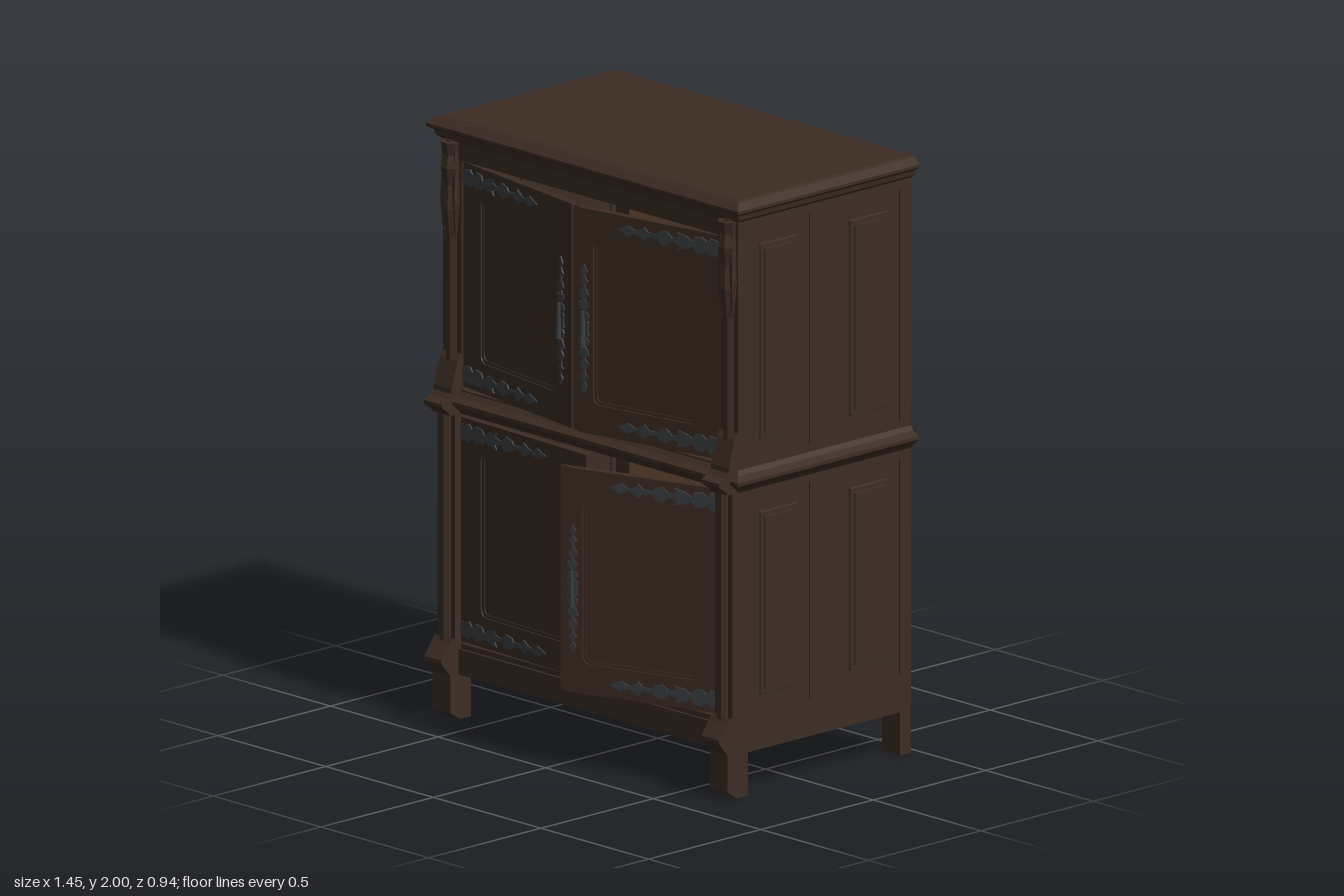
import * as THREE from 'three';

const mat = (name, color) => {
  const m = new THREE.MeshStandardMaterial({ color });
  m.name = name;
  return m;
};

export function createModel() {
  const wood = mat('dark oak', 0x3d2d23);
  const backWood = mat('pale back wood', 0x815c42);
  const iron = mat('wrought iron', 0x3c4043);
  const root = new THREE.Group();
  root.name = 'cabinet';

  const add = (name, geo, m = wood, parent = root) => {
    const g = geo.index ? geo.toNonIndexed() : geo;
    g.computeVertexNormals(); // crisp flat faces
    const mesh = new THREE.Mesh(g, m);
    mesh.name = name;
    parent.add(mesh);
    return mesh;
  };
  // Box given by its minimum and maximum corners
  const box = (name, x0, x1, y0, y1, z0, z1, m, parent) =>
    add(name, new THREE.BoxGeometry(x1 - x0, y1 - y0, z1 - z0)
      .translate((x0 + x1) / 2, (y0 + y1) / 2, (z0 + z1) / 2), m, parent);
  const rect = (target, x0, x1, y0, y1, r = 0) => {
    const pts = [];
    [[x1 - r, y1 - r], [x0 + r, y1 - r], [x0 + r, y0 + r], [x1 - r, y0 + r]].forEach(([x, y], i) => {
      for (let k = 0; k <= (r ? 4 : 0); k++) {
        const a = (i + k / 4) * Math.PI / 2;
        pts.push(new THREE.Vector2(x + r * Math.cos(a), y + r * Math.sin(a)));
      }
    });
    return target.setFromPoints(pts);
  };
  const extrude = (shape, depth) => new THREE.ExtrudeGeometry(shape, { depth, bevelEnabled: false });
  // Raised field: a slab whose +z face is inset by b
  const raised = (w, h, d, b) => {
    const g = new THREE.BoxGeometry(w, h, d).translate(0, 0, d / 2), p = g.attributes.position;
    for (let i = 0; i < p.count; i++) {
      if (p.getZ(i) > d / 2) p.setXY(i, p.getX(i) * (1 - 2 * b / w), p.getY(i) * (1 - 2 * b / h));
    }
    return g;
  };
  // Moulding: profile [offset, y] from top to bottom, swept along left, front and right
  const moulding = (name, profile, x0, x1, zb, zf, side = 1) => {
    const ring = ([o, y]) => [[x0 - o * side, y, zb], [x0 - o * side, y, zf + o],
      [x1 + o * side, y, zf + o], [x1 + o * side, y, zb]];
    const rings = profile.map(ring), out = [];
    for (let i = 0; i + 1 < rings.length; i++) {
      for (let k = 0; k < 3; k++) {
        const a = rings[i][k], b = rings[i + 1][k], c = rings[i + 1][k + 1], d = rings[i][k + 1];
        out.push(...a, ...b, ...c, ...a, ...c, ...d);
      }
      for (const k of [0, 3]) { // end caps
        const a = rings[0][k], b = rings[i][k], c = rings[i + 1][k];
        out.push(...a, ...b, ...c, ...a, ...c, ...b);
      }
    }
    const g = new THREE.BufferGeometry();
    g.setAttribute('position', new THREE.Float32BufferAttribute(out, 3));
    return add(name, g);
  };

  // Horizontal boards
  box('topBoard', -0.69, 0.69, 1.93, 2.0, -0.47, 0.305);
  box('middleBoard', -0.68, 0.68, 1.02, 1.1, -0.44, 0.3);
  box('floorBoard', -0.66, 0.66, 0.21, 0.24, -0.44, 0.28);
  box('frieze', -0.62, 0.62, 1.865, 1.94, 0.26, 0.3);
  box('bottomRail', -0.62, 0.62, 0.15, 0.235, 0.26, 0.31);
  box('bottomRailLip', -0.62, 0.62, 0.235, 0.252, 0.26, 0.3);

  // Mouldings
  moulding('cornice', [[0, 2], [0.012, 1.995], [0.036, 1.975], [0.036, 1.965], [0.016, 1.952],
    [0.012, 1.935], [0, 1.925]], -0.69, 0.69, -0.47, 0.303);
  const waist = [[0, 1.095], [0.012, 1.08], [0.036, 1.066], [0.036, 1.054], [0.012, 1.035], [0, 1.02]];
  moulding('waistMoulding', waist, -0.685, 0.685, -0.47, 0.3);

  // Sides with four framed, raised panels each
  const bays = [[-0.02, 0.255], [-0.42, -0.145]], rows = [[0.27, 0.995], [1.12, 1.89]];
  for (const s of [-1, 1]) {
    const shape = rect(new THREE.Shape(), -0.47, 0.3, 0.145, 1.94);
    for (const [a, b] of bays) for (const [c, d] of rows) {
      shape.holes.push(rect(new THREE.Path(), a, b, c, d));
      const w = b - a, h = d - c, x = s * 0.671;
      const panel = new THREE.Group();
      panel.name = 'sidePanel';
      panel.position.set(x, (c + d) / 2, (a + b) / 2);
      panel.rotation.y = s * Math.PI / 2;
      root.add(panel);
      box('panelGround', -w / 2, w / 2, -h / 2, h / 2, -0.01, 0.009, wood, panel);
      add('panelBead', raised(w - 0.095, h - 0.105, 0.016, 0.008), wood, panel);
      add('panelField', raised(w - 0.13, h - 0.14, 0.021, 0.006), wood, panel);
    }
    add('sideFrame', extrude(shape, 0.03).rotateY(-Math.PI / 2).translate(s > 0 ? 0.685 : -0.655, 0, 0));
  }

  // Back frame with pale panels
  const back = rect(new THREE.Shape(), -0.685, 0.685, 0.15, 1.94);
  for (const [a, b] of [[0.27, 0.985], [1.12, 1.89]]) {
    back.holes.push(rect(new THREE.Path(), -0.595, 0.595, a, b));
    box('backPanel', -0.62, 0.62, a - 0.02, b + 0.02, -0.455, -0.447, backWood);
  }
  add('backFrame', extrude(back, 0.03).translate(0, 0, -0.47));

  // Corner posts and legs
  const turned = (name, x, z, y0, y1, rTop, rBot, n = 8) =>
    add(name, new THREE.CylinderGeometry(rTop, rBot, y1 - y0, n, 1).rotateY(Math.PI / n)
      .translate(x, (y0 + y1) / 2, z));
  for (const s of [-1, 1]) {
    const a = s > 0 ? 0.603 : -0.685, b = a + 0.082, x = (a + b) / 2;
    box('upperPost', a, b, 1.09, 1.94, 0.24, 0.298);
    turned('upperColumn', x, 0.295, 1.09, 1.93, 0.024, 0.024);
    moulding('columnPedestal', [[0, 1.22], [0.012, 1.2], [0.04, 1.11], [0.04, 1.09]], a, b, 0.25, 0.302, 0);
    // Carved hanging pinnacle in tapering tiers
    [[1.55, 1.63, 0.026, 0.004], [1.63, 1.7, 0.033, 0.022], [1.7, 1.78, 0.027, 0.033],
      [1.78, 1.84, 0.038, 0.026], [1.84, 1.88, 0.03, 0.036], [1.88, 1.925, 0.038, 0.028]]
      .forEach(([y0, y1, t, m]) => turned('carvedPinnacle', x, 0.302, y0, y1, t, m));
    for (const k of [-1, 1]) {
      turned('pinnacleDrop', x + k * 0.026, 0.308, 1.6, 1.72, 0.014, 0.002, 6);
      turned('pinnacleSpire', x + k * 0.026, 0.308, 1.72, 1.9, 0.008, 0.014, 6);
    }
    // Lower post with a half-round shaft between two flats
    box('lowerPost', a, b, 0.15, 1.04, 0.255, 0.325);
    turned('lowerColumn', x, 0.325, 0.25, 1.03, 0.022, 0.022);
    const corner = waist.map(([o, y]) => [o * 1.1, y]);
    moulding('waistCorner', corner, a, b, 0.26, 0.345, 0);
    moulding('footCorner', [[-0.005, 0.275], [0.005, 0.255], [0.04, 0.21], [0.04, 0.198], [0, 0.15]],
      a, b, 0.26, 0.345, 0);
    // Front leg with a cut-back toe
    const leg = new THREE.Shape([[0.255, 0], [0.305, 0], [0.347, 0.028], [0.347, 0.2], [0.255, 0.2]]
      .map(([u, v]) => new THREE.Vector2(u, v)));
    add('frontLeg', extrude(leg, 0.082).rotateY(-Math.PI / 2).translate(b, 0, 0));
    box('backLeg', a, b, 0, 0.2, -0.47, -0.42);
  }

  // Pierced-leaf iron plate, mirrored about its long axis; u runs 0..1
  const leaf = [[0, 0.75], [0.1, 1], [0.13, 0.5], [0.18, 0.95], [0.25, 0.8], [0.27, 0.25], [0.33, 0.7],
    [0.42, 0.95], [0.4, 0.45], [0.47, 0.2], [0.53, 0.85], [0.6, 0.6], [0.62, 0.2], [0.7, 0.25],
    [0.74, 0.8], [0.79, 0.35], [0.83, 0.15], [0.9, 0.6], [0.95, 0.3], [1, 0.05]];
  const plate = (len, half) => {
    const top = leaf.map(([u, v]) => new THREE.Vector2(u * len, v * half));
    const low = leaf.map(([u, v]) => new THREE.Vector2(u * len, -v * half)).reverse();
    return extrude(new THREE.Shape([...low, ...top]), 0.005);
  };

  // Doors: built from the hinge at 0 towards the middle, dir = +1 or -1
  const door = (name, dir, y0, h, degrees, zHinge) => {
    const g = new THREE.Group();
    g.name = name;
    g.position.set(-dir * 0.602, y0, zHinge);
    g.rotation.y = -dir * THREE.MathUtils.degToRad(degrees);
    root.add(g);
    const W = 0.602, lip = dir < 0 ? 0.028 : 0, T = 0.024;
    const span = (a, b) => dir > 0 ? [a, b] : [-b, -a];
    const frame = rect(new THREE.Shape(), ...span(0, W - lip), 0, h);
    frame.holes.push(rect(new THREE.Path(), ...span(0.095, 0.515), 0.1, h - 0.1, 0.025));
    add('doorFrame', extrude(frame, T).translate(0, 0, -T), wood, g);
    const bead = rect(new THREE.Shape(), ...span(0.095, 0.515), 0.1, h - 0.1, 0.025);
    bead.holes.push(rect(new THREE.Path(), ...span(0.105, 0.505), 0.11, h - 0.11, 0.02));
    add('doorBead', extrude(bead, 0.014).translate(0, 0, -0.02), wood, g);
    const [p0, p1] = span(0.09, 0.52);
    box('doorPanel', p0, p1, 0.095, h - 0.095, -0.022, -0.01, wood, g);
    if (lip) {
      const [l0, l1] = span(W - lip, W);
      box('doorRebate', l0, l1, 0, h, -T, -0.012, wood, g);
    }
    for (const y of [0.045, h - 0.045]) {
      const strap = add('hingeStrap', plate(0.41, 0.03), iron, g);
      strap.position.set(dir > 0 ? 0.004 : -0.414, y, 0);
      if (dir < 0) strap.geometry.translate(-0.205, 0, 0).rotateZ(Math.PI).translate(0.205, 0, 0);
      strap.position.z = 0.001;
    }
    // Long lock plate with a drop handle
    const hx = dir * 0.548, mid = h * 0.465;
    for (const k of [-1, 1]) {
      const half = add('lockPlate', plate(0.215, 0.02).rotateZ(k * Math.PI / 2), iron, g);
      half.position.set(hx, mid, 0.001);
    }
    add('dropHandle', new THREE.CylinderGeometry(0.006, 0.009, 0.12, 6).translate(hx, mid, 0.012), iron, g);
  };
  door('upperRightDoor', 1, 1.11, 0.75, 8.5, 0.29);
  door('upperLeftDoor', -1, 1.11, 0.75, 10, 0.29);
  door('lowerRightDoor', 1, 0.26, 0.75, 2, 0.3);
  door('lowerLeftDoor', -1, 0.26, 0.75, 18, 0.285);

  return root;
}
